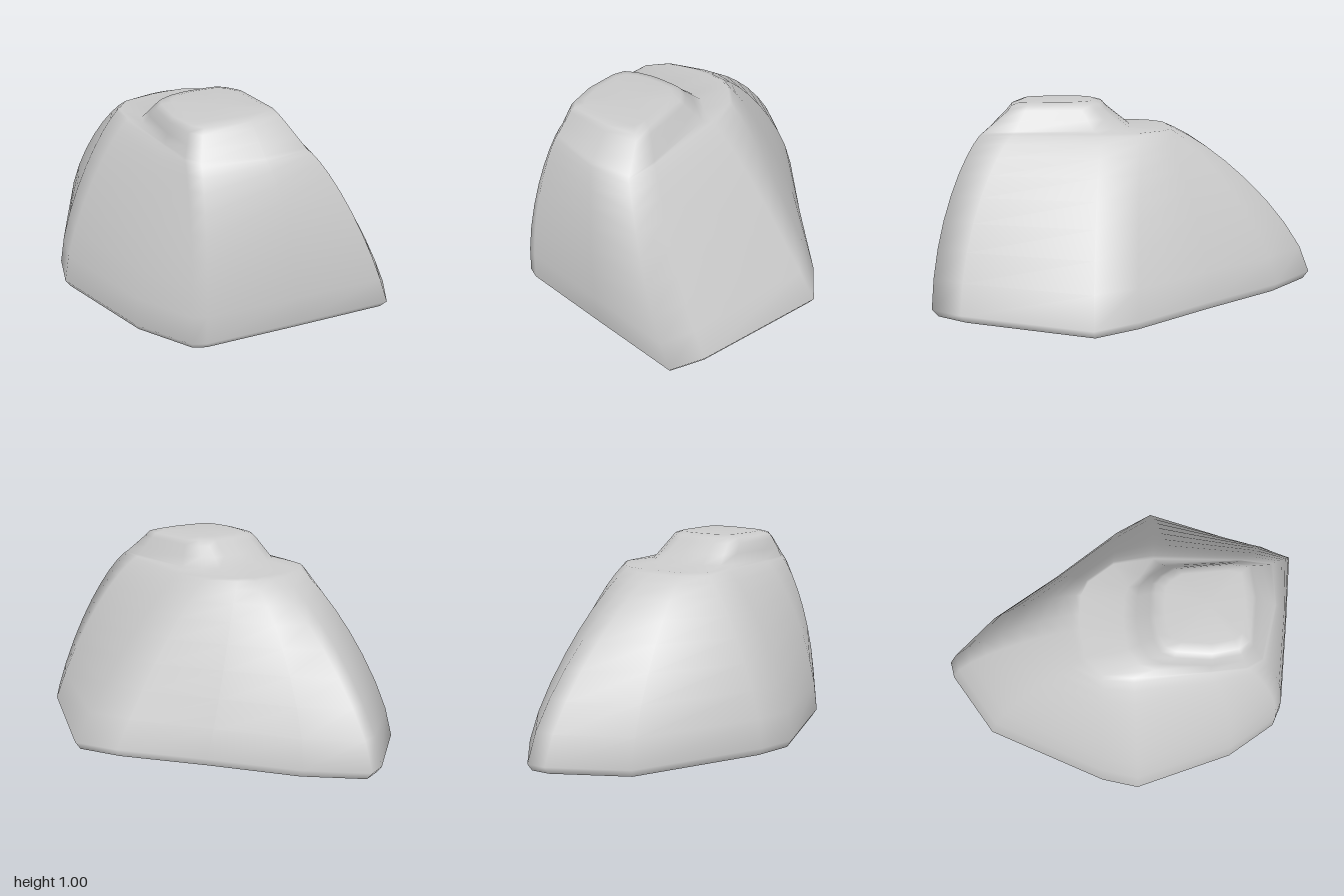
import * as THREE from 'three';

// Columns around the rock, front -> +x -> back -> -x.
// Each: x, z at the ground, at the shelf height and at the summit rim.
const COLUMNS = [
  [0.48, 0.99, 0.12, 0.76, 0.07, 0.63],
  [0.58, 0.84, 0.15, 0.6, 0.09, 0.54],
  [0.83, 0.21, 0.18, 0.16, 0.08, 0.25],
  [0.72, 0, 0.16, -0.04, 0.04, 0.18],
  [0.44, -0.38, 0.07, -0.17, 0, 0.14],
  [0.17, -0.77, 0, -0.21, -0.05, 0.13],
  [-0.06, -1, -0.1, -0.22, -0.15, 0.12],
  [-0.15, -0.98, -0.18, -0.22, -0.2, 0.12],
  [-0.48, -0.76, -0.33, -0.2, -0.28, 0.13],
  [-0.78, -0.15, -0.42, -0.12, -0.35, 0.16],
  [-0.83, 0.04, -0.44, 0.03, -0.38, 0.22],
  [-0.68, 0.56, -0.43, 0.4, -0.4, 0.4],
  [-0.52, 0.82, -0.42, 0.58, -0.38, 0.54],
  [-0.46, 0.85, -0.38, 0.66, -0.34, 0.6],
  [0, 0.92, -0.1, 0.75, -0.1, 0.64],
];
const N = COLUMNS.length;
const SUMMIT = new THREE.Vector3(-0.13, 1, 0.4);
const { lerp, smoothstep } = THREE.MathUtils;

// Inward travel from ground to shelf; a higher power keeps the wall steep for longer
const inward = (u, power) => 1 - (1 - u ** power) ** 0.8;

// Points running up one side of the rock
function column([bx, bz, sx, sz, rx, rz]) {
  const points = [new THREE.Vector3(bx * 0.97, 0, bz * 0.97)];

  // Walls: straight on +x, bulging on -x and at the back, steepest in front
  const powerX = bx > 0 ? 1 : 1.4;
  const powerZ = bz > 0.5 ? 1.9 : 1.4;
  for (let k = 0; k <= 9; k++) {
    const u = Math.min(1, Math.sin((k / 9) * Math.PI / 2));
    points.push(new THREE.Vector3(
      lerp(bx, sx, inward(u, powerX)), lerp(0.04, 0.85, u), lerp(bz, sz, inward(u, powerZ))));
  }

  // Shelf, wide at the back and vanishing at the front, then the summit wall
  const shelf = points[points.length - 1];
  const rim = new THREE.Vector3(rx, 0.96, rz);
  const foot = shelf.clone().lerp(rim, lerp(0.63, 0.1, smoothstep(sz, -0.1, 0.4)));
  foot.y = 0.86;
  points.push(foot, foot.clone().lerp(rim, 0.5), rim);

  // Rounded summit
  for (const [scale, y] of [[0.92, 0.985], [0.75, 0.998]]) {
    const p = SUMMIT.clone().lerp(rim, scale);
    p.y = y;
    points.push(p);
  }
  return points;
}

function meshFrom(name, points, index) {
  const geometry = new THREE.BufferGeometry().setFromPoints(points);
  geometry.setIndex(index);
  geometry.computeVertexNormals();
  const mesh = new THREE.Mesh(geometry, new THREE.MeshStandardMaterial({ color: 0xcccccc }));
  mesh.name = name;
  return mesh;
}

export function createModel() {
  const group = new THREE.Group();
  group.name = 'rock';
  const columns = COLUMNS.map(column);
  const rows = columns[0].length;

  // Smooth surface from the ground to the summit
  const points = [...columns.flat(), SUMMIT];
  const surface = [];
  const underside = [];
  for (let i = 0; i < N; i++) {
    const here = i * rows;
    const next = ((i + 1) % N) * rows;
    for (let j = 0; j < rows - 1; j++) {
      surface.push(here + j, next + j, next + j + 1, here + j, next + j + 1, here + j + 1);
    }
    surface.push(here + rows - 1, next + rows - 1, N * rows);
    underside.push(N, (i + 1) % N, i);
  }
  group.add(meshFrom('rockSurface', points, surface));

  // Flat underside
  const ground = columns.map((c) => c[0]);
  group.add(meshFrom('underside', [...ground, new THREE.Vector3()], underside));
  return group;
}
